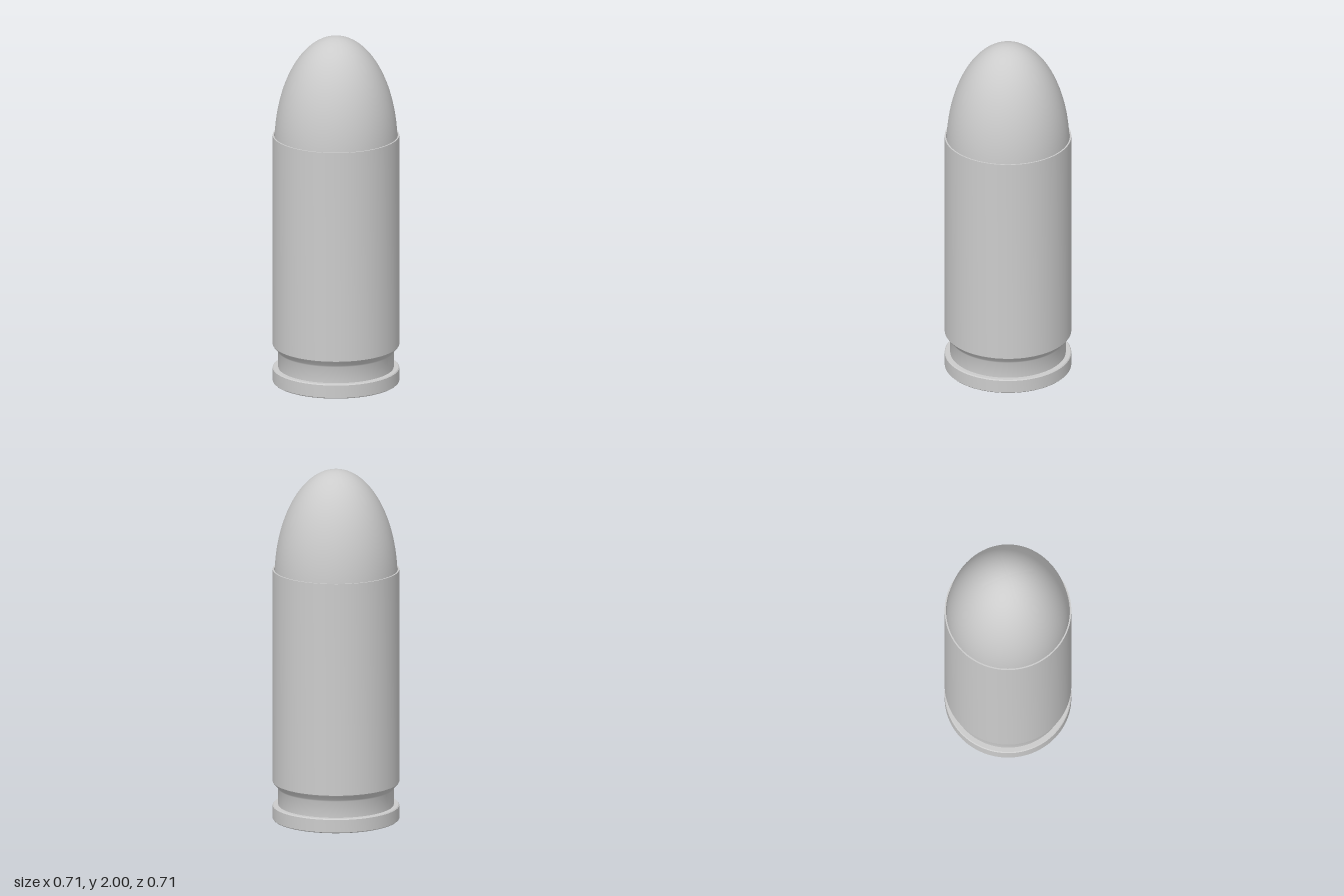
import * as THREE from 'three';
import { toCreasedNormals } from 'three/addons/utils/BufferGeometryUtils.js';

const SEGMENTS = 96;

// Turned part from an [radius, height] profile running from the bottom centre outward and up
function turned(name, profile, material) {
  const points = profile.map(([r, y]) => new THREE.Vector2(r, y));
  const geometry = toCreasedNormals(new THREE.LatheGeometry(points, SEGMENTS), 0.5);
  const mesh = new THREE.Mesh(geometry, material);
  mesh.name = name;
  return mesh;
}

export function createModel() {
  const group = new THREE.Group();
  group.name = 'cartridge';
  const metal = new THREE.MeshStandardMaterial({ color: 0xcccccc });

  // Case: primer pocket, rim, extractor groove, straight wall and thin mouth
  group.add(turned('case', [
    [0, 0.1], [0.232, 0.1], [0.232, 0],
    [0.348, 0], [0.353, 0.005], [0.353, 0.077], [0.348, 0.082],
    [0.322, 0.082], [0.322, 0.175], [0.326, 0.184],
    [0.348, 0.208], [0.353, 0.216],
    [0.353, 1.43], [0.345, 1.43], [0.345, 1.2],
  ], metal));

  // Primer: flat disc with a rounded firing dimple and a fine gap around it
  group.add(turned('primer', [
    [0, 0.05], [0.045, 0.05], [0.053, 0.042], [0.056, 0.025],
    [0.064, 0.012], [0.077, 0.004], [0.095, 0],
    [0.226, 0], [0.229, 0.004], [0.229, 0.1],
  ], metal));

  // Bullet: straight shank seated in the case, then an elliptical nose
  const bullet = [[0, 1.1], [0.343, 1.1]];
  const steps = 40;
  const base = 1.38;
  for (let i = 0; i <= steps; i++) {
    const a = (i / steps) * Math.PI / 2;
    bullet.push([i === steps ? 0 : 0.343 * Math.cos(a), base + (2 - base) * Math.sin(a)]);
  }
  group.add(turned('bullet', bullet, metal));

  return group;
}
